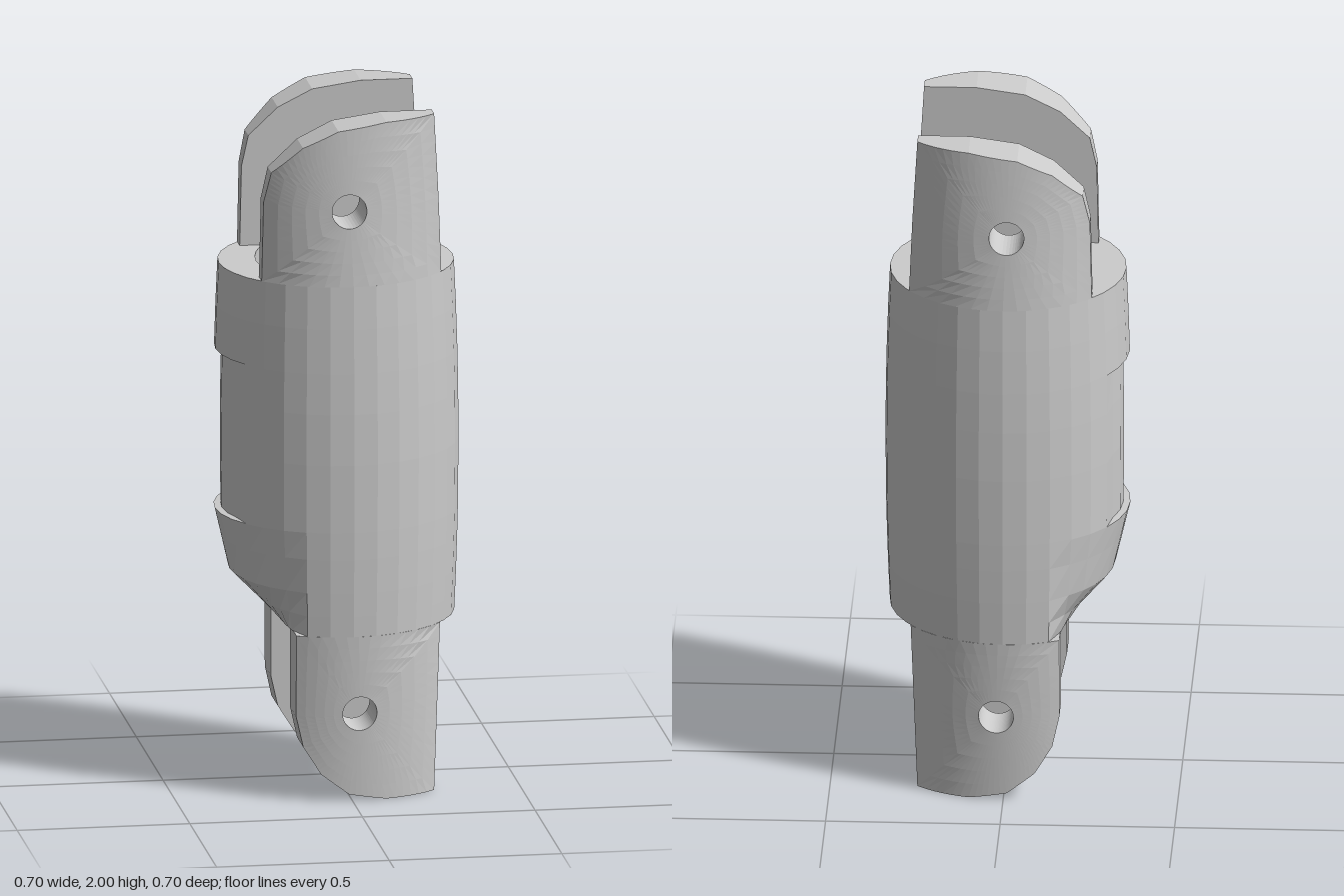
import * as THREE from 'three';

const material = new THREE.MeshStandardMaterial({ color: 0xcccccc, flatShading: true });
const { lerp, clamp } = THREE.MathUtils;

// Skin a list of closed rings; the last ring joins back to the first.
function loft(name, rings) {
  const n = rings[0].length, index = [];
  rings.forEach((_, i) => {
    const j = (i + 1) % rings.length;
    for (let k = 0; k < n; k++) {
      const l = (k + 1) % n;
      const a = i * n + k, b = j * n + k, c = j * n + l, d = i * n + l;
      index.push(a, b, d, b, c, d);
    }
  });
  const g = new THREE.BufferGeometry();
  g.setAttribute('position', new THREE.Float32BufferAttribute(rings.flat(2), 3));
  g.setIndex(index);
  const flat = g.toNonIndexed();
  flat.computeVertexNormals();
  const mesh = new THREE.Mesh(flat, material);
  mesh.name = name;
  return mesh;
}

const BOTTOM = 0.49, TOP = 1.525, FLAT = 0.18, SIDES = 32;
const angles = Array.from({ length: SIDES }, (_, k) => (k / SIDES) * Math.PI * 2);

// Barrel-shaped outside, scooped at the lower left, with a recessed side panel.
function outerRing(y, recessed) {
  const r = 0.352 - 0.012 * ((y - 1) / 0.5) ** 2;
  const s = y >= 0.8 ? 1 : y > 0.62 ? lerp(0.8, 1, (y - 0.62) / 0.18) : lerp(0.1, 0.8, (y - BOTTOM) / 0.13);
  return angles.map((a) => {
    const onPanel = Math.cos(a) < -0.9;
    const q = onPanel && recessed ? r - 0.02 : r;
    let x = q * Math.cos(a), z = q * Math.sin(a);
    if (x < -0.16) {
      x = -0.16 + (x + 0.16) * s;
      z *= 0.8 + 0.2 * s;
    }
    return [x, y, z];
  });
}

// Bore with two flat walls and two shallow arcs, drawn in at the lower left.
function boreRing(y) {
  const t = clamp((0.8 - y) / (0.8 - BOTTOM), 0, 1);
  return angles.map((a) => {
    const z = clamp(0.29 * Math.sin(a), -FLAT, FLAT);
    const limit = 0.23 - 0.045 * (z / FLAT) ** 2;
    let x = clamp(0.29 * Math.cos(a), -limit, limit);
    if (x < 0) x *= lerp(1, 0.59, t);
    return [x, y, z];
  });
}

// Hinge prong: curved outside, flat inside, pierced by a round pin hole.
function prong(name, outline, [cx, cy], side) {
  const STEPS = 6, rim = [];
  outline.forEach(([x, y], i) => {
    const [u, v] = outline[(i + 1) % outline.length];
    for (let k = 0; k < STEPS; k++) rim.push([lerp(x, u, k / STEPS), lerp(y, v, k / STEPS)]);
  });
  if (side < 0) rim.reverse();
  const ring = (f, depth) => rim.map(([x, y]) => {
    const a = Math.atan2(y - cy, x - cx);
    const px = lerp(cx + 0.05 * Math.cos(a), x, f);
    const py = lerp(cy + 0.05 * Math.sin(a), y, f);
    return [px, py, side * depth(px, py)];
  });
  const curved = (x, y) => {
    const t = clamp((Math.abs(y - 1) - 0.5) / 0.5, 0, 1);
    return Math.sqrt(0.1156 - x * x) - 0.024 * t * (1 - (x / 0.27) ** 2);
  };
  const steps = [0, 0.2, 0.4, 0.6, 0.8, 1];
  return loft(name, [
    ...steps.map((f) => ring(f, curved)),
    ring(1, () => FLAT),
    ring(0, () => FLAT),
  ]);
}

export function createModel() {
  const model = new THREE.Group();
  model.name = 'hingedLink';

  // Hollow middle sleeve
  const levels = [[BOTTOM], [0.55], [0.62], [0.72], [0.8], [0.801, true], [1, true], [1.15, true],
    [1.269, true], [1.27], [1.4], [TOP]];
  model.add(loft('sleeve', [
    ...levels.map(([y, recessed]) => outerRing(y, recessed)),
    ...[TOP, 1.1, 0.8, BOTTOM].map(boreRing),
  ]));

  // Paired prongs at both ends
  const upper = [[-0.25, TOP], [0, TOP], [0.275, TOP], [0.265, 1.75], [0.25, 2], [0.1, 2], [-0.04, 1.98],
    [-0.14, 1.93], [-0.225, 1.85], [-0.245, 1.76]];
  const lower = [[-0.16, BOTTOM], [-0.16, 0.25], [-0.14, 0.16], [-0.09, 0.08], [-0.01, 0.02], [0.1, 0],
    [0.25, 0], [0.26, 0.25], [0.27, BOTTOM], [0.05, BOTTOM]];
  for (const [label, side] of [['front', 1], ['back', -1]]) {
    model.add(prong(label + 'UpperProng', upper, [-0.01, 1.745], side));
    model.add(prong(label + 'LowerProng', lower, [0.02, 0.26], side));
  }
  return model;
}
